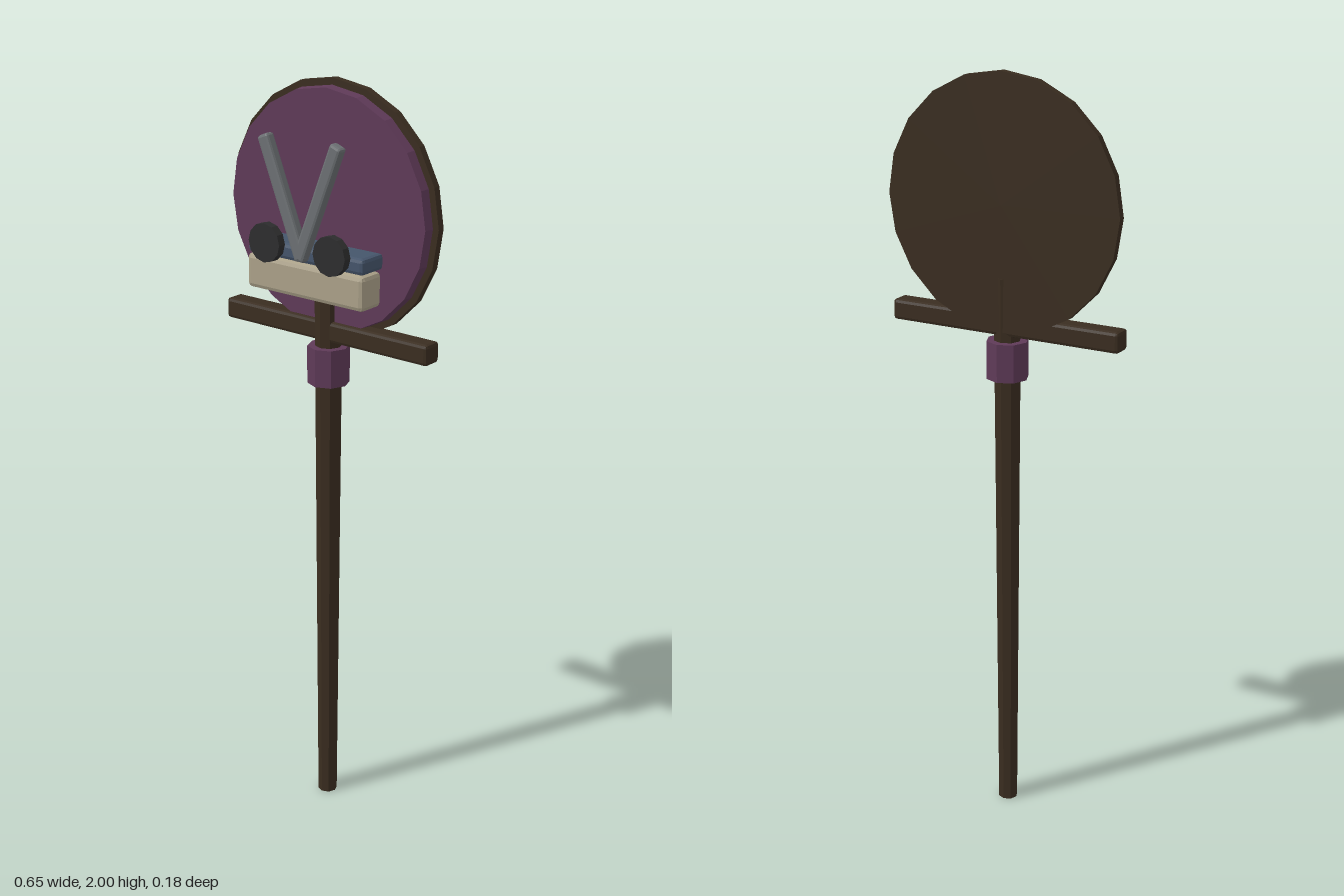
import * as THREE from 'three';
import { RoundedBoxGeometry } from 'three/addons/geometries/RoundedBoxGeometry.js';

const material = (name, color) => {
  const m = new THREE.MeshStandardMaterial({ color, flatShading: true });
  m.name = name;
  return m;
};

export function createModel() {
  const model = new THREE.Group();
  model.name = 'signPost';
  const wood = material('darkWood', 0x3a2d20);
  const purple = material('purple', 0x5f3a58);
  const cream = material('cream', 0xaba189);
  const blue = material('slateBlue', 0x45556b);
  const steel = material('steel', 0x6c7073);
  const black = material('charcoal', 0x2d2d2e);

  const add = (name, geometry, mat, x, y, z) => {
    const mesh = new THREE.Mesh(geometry, mat);
    mesh.name = name;
    mesh.position.set(x, y, z);
    model.add(mesh);
    return mesh;
  };
  // Box with chamfered edges
  const block = (w, h, d, bevel) => new RoundedBoxGeometry(w, h, d, 1, bevel);
  // Upright disc facing +z
  const disc = (front, back, depth, sides) =>
    new THREE.CylinderGeometry(front, back, depth, sides).rotateX(Math.PI / 2);

  // Tapered post, collar and crossbar
  add('post', new THREE.CylinderGeometry(0.036, 0.026, 1.49, 8), wood, 0, 0.745, -0.037);
  add('collar', new THREE.CylinderGeometry(0.055, 0.055, 0.1, 8), purple, 0, 1.275, -0.037);
  add('crossbar', block(0.65, 0.055, 0.055, 0.009), wood, 0, 1.368, -0.039);

  // Round sign board with a painted face
  add('signBoard', disc(0.325, 0.325, 0.02, 20), wood, 0, 1.675, -0.06);
  add('signFace', disc(0.305, 0.308, 0.028, 20), purple, 0, 1.675, -0.037);

  // Shelf block and cushion
  add('shelfBlock', block(0.37, 0.09, 0.078, 0.012), cream, 0, 1.513, 0.025);
  add('cushion', block(0.366, 0.042, 0.085, 0.01), blue, 0, 1.58, 0.0185);

  // Crossed blades and round knobs, mirrored
  for (const side of [1, -1]) {
    const label = side > 0 ? 'left' : 'right';
    const blade = add(label + 'Blade', block(0.035, 0.32, 0.028, 0.007), steel,
      side * 0.055, 1.72, 0.07);
    blade.rotation.z = -side * 0.38;
    add(label + 'Knob', disc(0.05, 0.05, 0.022, 12), black, side * 0.103, 1.602, 0.081);
  }
  return model;
}
